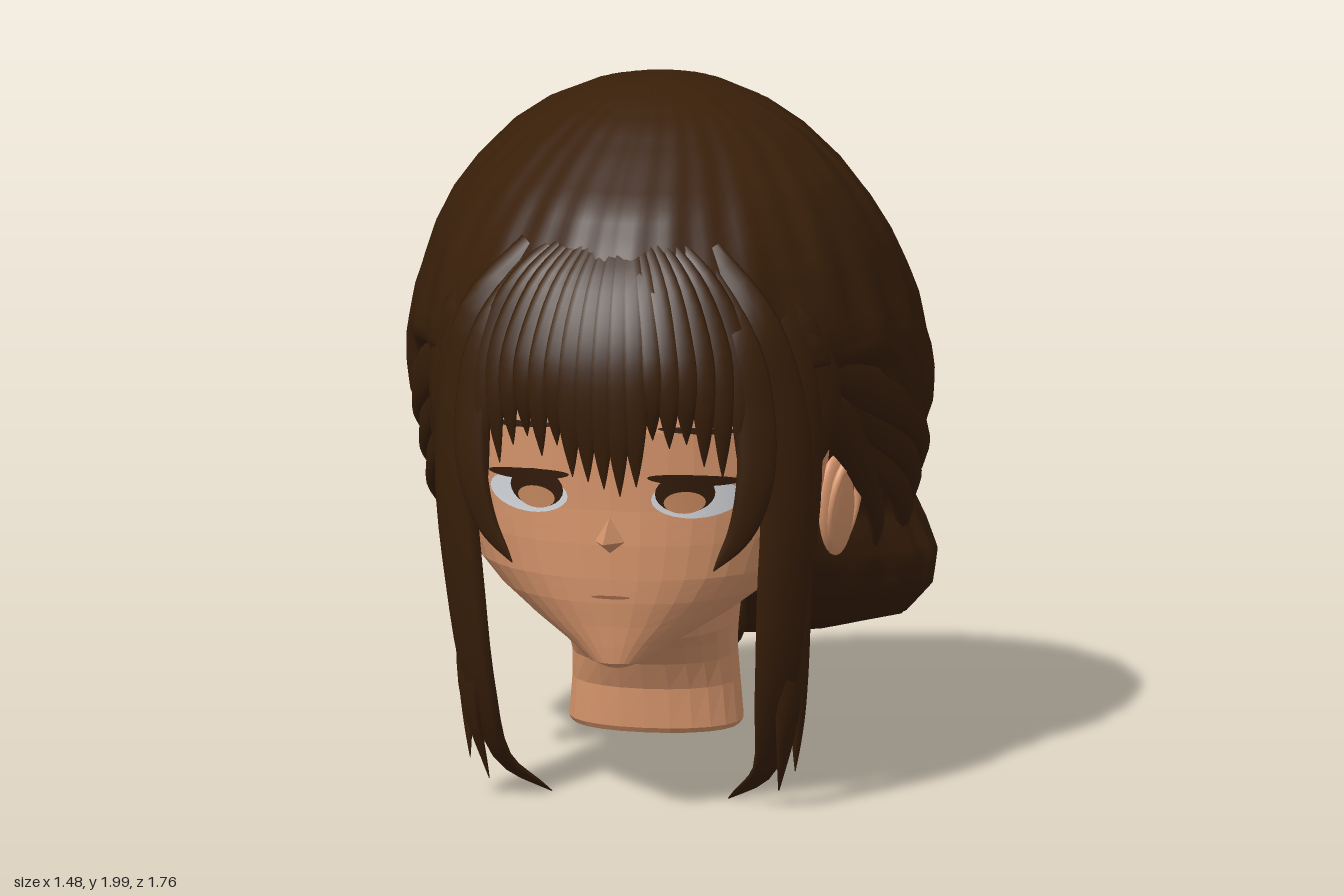
import * as THREE from 'three';

const mat = (name, color) => {
  const m = new THREE.MeshStandardMaterial({ color });
  m.name = name;
  return m;
};

// Closed surface through rings of equal length, capped at both ends
function loft(rings, flat = false) {
  const n = rings[0].length, pos = [], idx = [];
  rings.forEach(r => r.forEach(p => pos.push(p.x, p.y, p.z)));
  for (let j = 0; j < rings.length - 1; j++) for (let i = 0; i < n; i++) {
    const a = j * n + i, b = j * n + (i + 1) % n;
    idx.push(a, a + n, b, b, a + n, b + n);
  }
  [0, rings.length - 1].forEach((j, top) => {
    const c = new THREE.Vector3();
    rings[j].forEach(p => c.addScaledVector(p, 1 / n));
    const k = pos.length / 3;
    pos.push(c.x, c.y, c.z);
    for (let i = 0; i < n; i++) {
      const a = j * n + i, b = j * n + (i + 1) % n;
      if (top) idx.push(k, b, a); else idx.push(k, a, b);
    }
  });
  let g = new THREE.BufferGeometry();
  g.setAttribute('position', new THREE.Float32BufferAttribute(pos, 3));
  g.setIndex(idx);
  if (flat) g = g.toNonIndexed();
  g.computeVertexNormals();
  return g;
}

// Row: y, half width at +x, half width at -x, front z, back z, z of the widest point
const P = 2.2;
function rowAt(rows, y) {
  let j = 0;
  while (j < rows.length - 2 && rows[j + 1][0] < y) j++;
  const t = THREE.MathUtils.clamp((y - rows[j][0]) / (rows[j + 1][0] - rows[j][0]), 0, 1);
  return rows[j].map((v, k) => v + (rows[j + 1][k] - v) * t);
}
function section([y, wp, wn, zf, zb, zc], n, power, ripple) {
  return Array.from({ length: n }, (_, i) => {
    const a = i / n * Math.PI * 2, c = Math.cos(a), s = Math.sin(a), k = ripple(a, y), e = 2 / power;
    const cx = Math.sign(c) * Math.abs(c) ** e, sz = Math.sign(s) * Math.abs(s) ** e;
    return new THREE.Vector3(cx * (c > 0 ? wp : wn) * k, y, zc + sz * (s > 0 ? zf - zc : zc - zb) * k);
  });
}
function sections(rows, steps, n, power = P, ripple = () => 1) {
  const out = [];
  for (let j = 0; j < rows.length - 1; j++) for (let s = 0; s < steps; s++)
    out.push(section(rows[j].map((v, k) => v + (rows[j + 1][k] - v) * s / steps), n, power, ripple));
  out.push(section(rows[rows.length - 1], n, power, ripple));
  return out;
}

// Flattened, tapering lock of hair lying against the head
function lock(points, width, thick, steps = 18) {
  const curve = new THREE.CatmullRomCurve3(points.map(p => new THREE.Vector3(...p)));
  const rings = [];
  for (let j = 0; j <= steps; j++) {
    const t = j / steps, p = curve.getPoint(t), T = curve.getTangent(t);
    const N = new THREE.Vector3(p.x, 0, p.z);
    N.addScaledVector(T, -N.dot(T)).normalize();
    const B = new THREE.Vector3().crossVectors(T, N);
    const f = t < 0.3 ? 0.6 + t / 0.75 : 1 - 0.97 * ((t - 0.3) / 0.7) ** 3;
    rings.push(Array.from({ length: 10 }, (_, i) => {
      const a = i / 10 * Math.PI * 2, ridge = i % 2 ? 0.85 : 1.1;
      return p.clone().addScaledVector(B, Math.cos(a) * width * f)
        .addScaledVector(N, Math.sin(a) * thick * f * ridge);
    }));
  }
  return loft(rings);
}

const headRows = [
  [0.455, 0.04, 0.04, 0.67, 0.5, 0.6], [0.47, 0.09, 0.09, 0.69, 0.36, 0.57],
  [0.52, 0.17, 0.17, 0.7, 0.2, 0.48], [0.58, 0.28, 0.28, 0.71, 0.1, 0.38],
  [0.65, 0.38, 0.38, 0.725, 0, 0.32], [0.72, 0.45, 0.45, 0.735, -0.05, 0.28],
  [0.82, 0.49, 0.49, 0.745, -0.1, 0.25], [0.92, 0.51, 0.51, 0.75, -0.15, 0.25],
  [1.02, 0.52, 0.52, 0.76, -0.2, 0.25], [1.15, 0.52, 0.52, 0.775, -0.2, 0.25],
  [1.3, 0.48, 0.48, 0.77, -0.2, 0.25], [1.4, 0.4, 0.4, 0.7, -0.1, 0.25]];
const neckRows = [
  [0.17, 0.235, 0.235, 0.225, -0.095, 0.06], [0.185, 0.245, 0.245, 0.235, -0.105, 0.06],
  [0.3, 0.235, 0.235, 0.25, -0.1, 0.06], [0.38, 0.23, 0.23, 0.295, -0.1, 0.07],
  [0.44, 0.235, 0.235, 0.36, -0.1, 0.1], [0.48, 0.24, 0.24, 0.43, -0.1, 0.11],
  [0.56, 0.25, 0.25, 0.48, -0.1, 0.12], [0.7, 0.25, 0.25, 0.48, -0.1, 0.12]];
const hairRows = [
  [0.315, 0.2, 0.15, -0.45, -0.62, -0.55], [0.34, 0.43, 0.33, -0.3, -0.7, -0.5],
  [0.4, 0.61, 0.44, -0.2, -0.75, -0.4], [0.5, 0.7, 0.53, -0.1, -0.78, -0.32],
  [0.6, 0.72, 0.6, -0.02, -0.805, -0.3], [0.68, 0.69, 0.63, 0.03, -0.825, -0.28],
  [0.75, 0.66, 0.65, 0.05, -0.845, -0.25], [0.85, 0.68, 0.67, 0.1, -0.865, -0.2],
  [0.95, 0.7, 0.7, 0.2, -0.875, -0.18], [1.05, 0.73, 0.73, 0.34, -0.87, -0.15],
  [1.15, 0.735, 0.735, 0.45, -0.85, -0.13], [1.22, 0.73, 0.73, 0.52, -0.82, -0.12],
  [1.29, 0.715, 0.715, 0.8, -0.78, -0.11], [1.36, 0.7, 0.7, 0.825, -0.735, -0.1],
  [1.45, 0.67, 0.67, 0.82, -0.675, -0.08], [1.55, 0.635, 0.635, 0.77, -0.61, -0.05],
  [1.65, 0.585, 0.585, 0.7, -0.535, -0.02], [1.75, 0.515, 0.515, 0.61, -0.455, 0],
  [1.85, 0.415, 0.415, 0.46, -0.345, 0], [1.92, 0.315, 0.315, 0.34, -0.265, 0.01],
  [1.97, 0.2, 0.2, 0.22, -0.175, 0.02], [1.998, 0.07, 0.07, 0.09, -0.05, 0.02]];

// Thin oval that follows the curve of the face
function facePatch(x, y, rx, ry, lift, tilt = 0) {
  const g = new THREE.RingGeometry(0.01, 1, 24, 4), p = g.attributes.position;
  for (let i = 0; i < p.count; i++) {
    const px = x + p.getX(i) * rx, py = y + p.getY(i) * ry + p.getX(i) * tilt;
    const [, w, , zf, , zc] = rowAt(headRows, py);
    const z = zc + (zf - zc) * Math.max(0, 1 - Math.abs(px / w) ** P) ** (1 / P);
    p.setXYZ(i, px, py, z + lift);
  }
  g.computeVertexNormals();
  return g;
}

export function createModel() {
  const model = new THREE.Group();
  const skin = mat('skin', 0xdb986e), hair = mat('hair', 0x391f09), white = mat('eyeWhite', 0xdcdfe4);
  const dark = mat('lashBrown', 0x331b0b), iris = mat('irisTan', 0xc98a60), lip = mat('lip', 0xa06848);
  const add = (name, geo, material) => {
    const m = new THREE.Mesh(geo, material);
    m.name = name;
    model.add(m);
    return m;
  };

  // Head and neck
  add('head', loft(sections(headRows, 2, 44), true), skin);
  add('neck', loft(sections(neckRows, 1, 24), true), skin);
  const nose = new THREE.ConeGeometry(1, 1, 4, 1).rotateX(Math.PI / 2).toNonIndexed();
  const np = nose.attributes.position;
  for (let i = 0; i < np.count; i++) {
    const tip = np.getZ(i) > 0, y = np.getY(i);
    np.setXYZ(i, np.getX(i) * 0.045, tip ? 0.845 : y > 0.5 ? 0.91 : y < -0.5 ? 0.795 : 0.83, tip ? 0.85 : 0.735);
  }
  nose.computeVertexNormals();
  add('nose', nose, skin);
  add('mouth', facePatch(0, 0.67, 0.055, 0.005, 0.008), lip);

  // Eyes, brows and ears
  for (const s of [1, -1]) {
    add('eyeWhite', facePatch(s * 0.238, 0.957, 0.12, 0.056, 0.008), white);
    add('irisRim', facePatch(s * 0.21, 0.975, 0.08, 0.056, 0.013), dark);
    add('iris', facePatch(s * 0.21, 0.95, 0.056, 0.032, 0.018), iris);
    add('upperLash', facePatch(s * 0.235, 1.014, 0.125, 0.016, 0.02, -s * 0.01), dark);
    add('eyebrow', facePatch(s * 0.25, 1.155, 0.11, 0.009, 0.01, -s * 0.01), dark);
    const ear = add('ear', new THREE.SphereGeometry(1, 20, 14), skin);
    ear.scale.set(0.03, 0.15, 0.085);
    ear.position.set(s * 0.53, 0.83, 0.17);
    ear.rotation.set(0.2, -s * 0.35, 0);
    const rim = add('earRim', new THREE.TorusGeometry(0.85, 0.14, 8, 24), skin);
    rim.scale.set(0.085, 0.15, 0.09);
    rim.position.set(s * 0.55, 0.835, 0.165);
    rim.rotation.set(0.2, Math.PI / 2 - s * 0.35, 0, 'YXZ');
  }

  // Gathered hair, combed sideways from the parting
  const ripple = (a, y) => 1 + 0.006 * Math.sin(24 * Math.sin(a) + 9 * y) + 0.005 * Math.sin(34 * a + 4 * Math.sin(3 * y));
  add('hairMass', loft(sections(hairRows, 3, 180, 1.85, ripple)), hair);

  // Fringe
  const ends = [1.0, 1.0, 1.02, 1.13, 1.1, 1.13, 1.08, 1.03, 0.98];
  for (let i = -8; i <= 8; i++) {
    const x = i * 0.046, ye = ends[Math.abs(i)] + 0.02 * Math.sin(i * 5), d = 0.6 * x * x + 4 * x ** 4;
    add('fringeLock', lock([
      [x * 0.35, 1.68, 0.64 - d * 0.2], [x * 0.7, 1.56, 0.765 - d * 0.6], [x * 0.95, 1.38, 0.855 - d],
      [x, (1.38 + ye) / 2, 0.865 - d], [x * 0.98, ye, 0.83 - d]], Math.abs(i) < 3 ? 0.046 : 0.04, 0.02), hair);
  }

  // Long front locks and swept-back side locks
  const sideLocks = [
    ['longLock', 0.085, 0.032, [[0.24, 1.63, 0.6], [0.39, 1.45, 0.64], [0.45, 1.22, 0.61], [0.47, 0.95, 0.58], [0.45, 0.65, 0.55], [0.42, 0.35, 0.49], [0.37, 0.12, 0.39], [0.25, 0.01, 0.3]]],
    ['longLock', 0.07, 0.03, [[0.33, 1.6, 0.51], [0.44, 1.42, 0.53], [0.49, 1.2, 0.51], [0.49, 0.9, 0.49], [0.45, 0.55, 0.49], [0.45, 0.3, 0.47], [0.41, 0.06, 0.39]]],
    ['shortLock', 0.035, 0.018, [[0.48, 1.2, 0.5], [0.49, 0.9, 0.46], [0.48, 0.55, 0.44], [0.47, 0.3, 0.42], [0.46, 0.12, 0.41]]],
    ['cheekLock', 0.06, 0.022, [[0.22, 1.62, 0.62], [0.35, 1.42, 0.69], [0.4, 1.2, 0.69], [0.4, 1.0, 0.69], [0.36, 0.86, 0.69], [0.285, 0.75, 0.7]]],
    ['templeLock', 0.11, 0.03, [[0.32, 1.58, 0.52], [0.44, 1.4, 0.52], [0.5, 1.27, 0.46], [0.53, 1.13, 0.43], [0.53, 1.0, 0.42]]],
    ['lowerSweptLock', 0.075, 0.035, [[0.46, 1.28, 0.48], [0.54, 1.12, 0.32], [0.585, 0.97, 0.14], [0.6, 0.78, -0.04], [0.56, 0.6, -0.22]]]];
  for (let k = 0; k < 3; k++) {
    sideLocks.push(['sweptLock', 0.08, 0.035, [[0.45, 1.38 - 0.05 * k, 0.47], [0.59 - 0.02 * k, 1.22 - 0.07 * k, 0.24 - 0.03 * k],
      [0.69 - 0.02 * k, 1.03 - 0.1 * k, -0.12], [0.63 - 0.03 * k, 0.84 - 0.1 * k, -0.38], [0.46 - 0.03 * k, 0.72 - 0.1 * k, -0.58]]]);
  }
  for (const s of [1, -1]) for (const [name, w, th, pts] of sideLocks)
    add(name, lock(pts.map(([x, y, z]) => [x * s, y, z]), w, th, 26), hair);

  // Loose tuft on the side of the neck
  const tuft = add('neckTuft', new THREE.SphereGeometry(1, 16, 10), hair);
  tuft.scale.set(0.035, 0.09, 0.05);
  tuft.position.set(0.2, 0.46, -0.04);
  return model;
}
